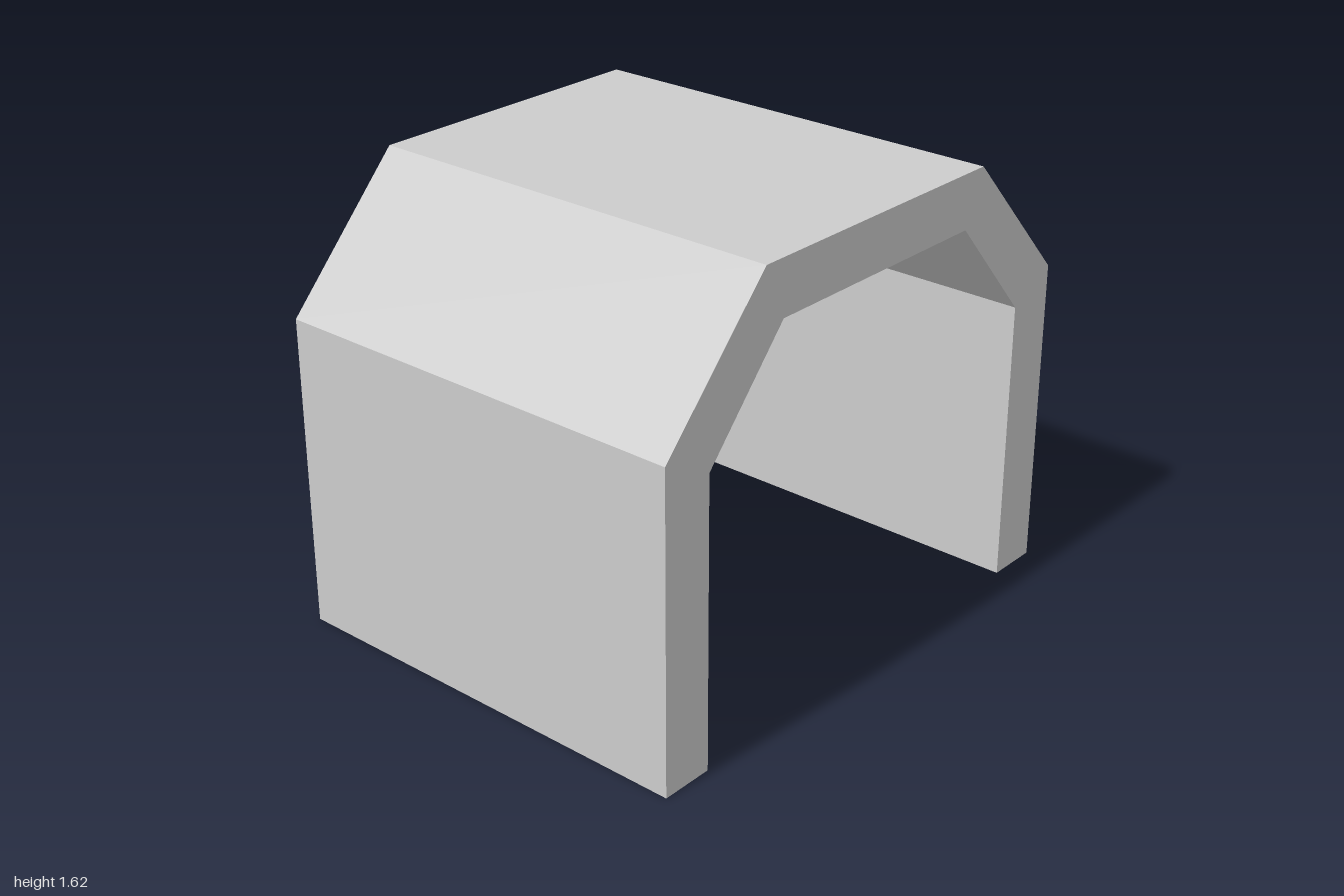
import * as THREE from 'three';

export function createModel() {
  const group = new THREE.Group();
  group.name = 'archTunnel';
  const lightGrey = new THREE.MeshStandardMaterial({ color: 0xcccccc });
  lightGrey.name = 'lightGrey';

  // Right half of the section: outer face from the foot up, then inner face back down
  const outer = [[1, 0], [1, 1.135], [0.555, 1.615]];
  const inner = [[0.47, 1.42], [0.805, 1.04], [0.805, 0]];
  const mirror = (points) => points.map(([x, y]) => [-x, y]).reverse();
  const outline = [...outer, ...mirror(outer), ...mirror(inner), ...inner];
  const section = new THREE.Shape(outline.map(([x, y]) => new THREE.Vector2(x, y)));

  // Walls, sloped shoulders and roof as one straight extrusion along z
  const depth = 1.6;
  const geometry = new THREE.ExtrudeGeometry(section, { depth, bevelEnabled: false });
  geometry.translate(0, 0, -depth / 2);
  const shell = new THREE.Mesh(geometry, lightGrey);
  shell.name = 'archShell';
  group.add(shell);
  return group;
}
